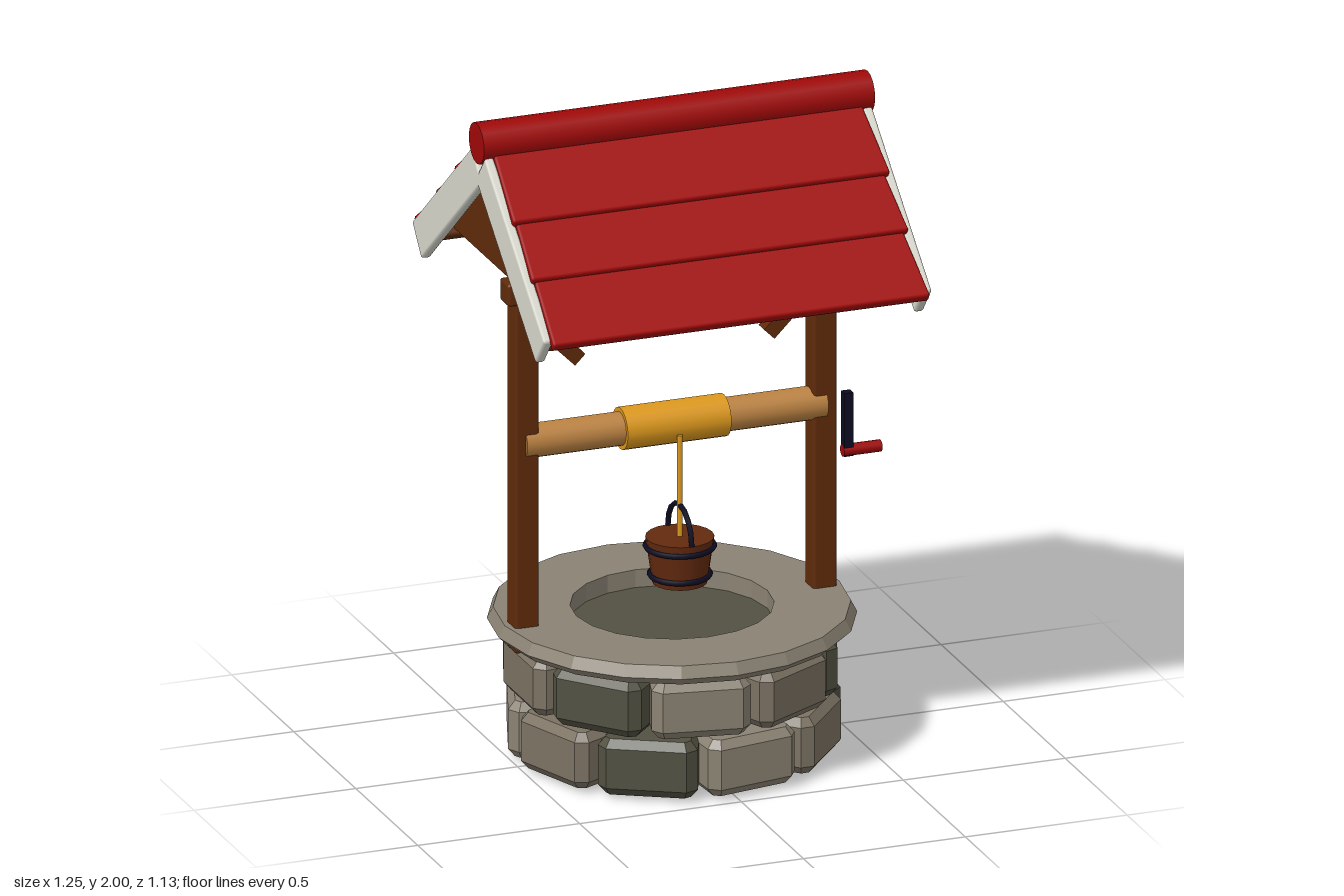
import * as THREE from 'three';
import { RoundedBoxGeometry } from 'three/addons/geometries/RoundedBoxGeometry.js';

const paint = (name, color, flatShading = false) => {
  const m = new THREE.MeshStandardMaterial({ color, flatShading });
  m.name = name;
  return m;
};

export function createModel() {
  const red = paint('roof red', 0xa00808);
  const white = paint('trim white', 0xd8d8ce);
  const wood = paint('dark wood', 0x602b0a);
  const tan = paint('axle wood', 0xbb8242);
  const yellow = paint('rope yellow', 0xdc981d);
  const iron = paint('dark iron', 0x0c0c22);
  const bucketWood = paint('bucket wood', 0x632a0f);
  const stones = [
    paint('dark stone', 0x525142, true),
    paint('warm stone', 0x7b7263, true),
    paint('light stone', 0x8a8273, true),
  ];

  const root = new THREE.Group();
  root.name = 'well';
  const well = new THREE.Group();
  well.name = 'wellBody';
  well.position.x = -0.023;
  root.add(well);

  const add = (name, geo, mat, x = 0, y = 0, z = 0, parent = well) => {
    const mesh = new THREE.Mesh(geo, mat);
    mesh.name = name;
    mesh.position.set(x, y, z);
    parent.add(mesh);
    return mesh;
  };
  const block = (w, h, d, r = 0.01) => new RoundedBoxGeometry(w, h, d, 1, r);
  const rod = (r, length, sides = 20) =>
    new THREE.CylinderGeometry(r, r, length, sides).rotateZ(Math.PI / 2);

  // Stone base: solid core, two staggered rings of chamfered blocks, rim
  add('core', new THREE.CylinderGeometry(0.31, 0.31, 0.385, 20), stones[0], 0, 0.1925);
  const outline = new THREE.Shape([
    [-0.11, 0.3], [0.11, 0.3], [0.125, 0.437], [0.109, 0.455], [-0.109, 0.455], [-0.125, 0.437],
  ].map(([x, y]) => new THREE.Vector2(x, y)));
  const stoneGeo = new THREE.ExtrudeGeometry(outline, {
    depth: 0.122, bevelEnabled: true, bevelThickness: 0.025, bevelSize: 0.02, bevelSegments: 1,
  }).rotateX(-Math.PI / 2);
  for (let row = 0; row < 2; row++) {
    for (let i = 0; i < 9; i++) {
      const angle = ((i + row / 2) / 9) * Math.PI * 2;
      const stone = add('stone', stoneGeo, stones[i % 3], 0, row ? 0.221 : 0.038);
      stone.rotation.y = -angle - Math.PI / 2;
    }
  }
  const rimProfile = [
    [0.295, 0.38], [0.508, 0.38], [0.535, 0.405], [0.517, 0.44], [0.295, 0.44], [0.295, 0.38],
  ].map(([r, y]) => new THREE.Vector2(r, y));
  add('rim', new THREE.LatheGeometry(rimProfile, 20), stones[2]);

  // Frame: posts, braces and top beam
  for (const s of [-1, 1]) {
    add('post', block(0.075, 1.09, 0.075), wood, s * 0.46, 0.905);
    const brace = add('brace', new THREE.BoxGeometry(0.24, 0.045, 0.045), wood, s * 0.377, 1.322);
    brace.rotation.z = s * Math.PI / 4;
  }
  add('topBeam', block(1.04, 0.07, 0.075), wood, 0, 1.467);

  // Windlass: axle, wound rope, crank
  add('axle', rod(0.05, 0.93), tan, 0, 1);
  add('woundRope', rod(0.063, 0.32), yellow, 0, 1);
  add('rope', new THREE.CylinderGeometry(0.009, 0.009, 0.32, 8), yellow, 0, 0.82, 0.063);
  add('crankArm', new THREE.BoxGeometry(0.028, 0.195, 0.028), iron, 0.541, 0.922);
  add('crankHandle', rod(0.018, 0.118, 12), red, 0.585, 0.84);

  // Bucket with two hoops and a bail
  const bucket = new THREE.Group();
  bucket.name = 'bucket';
  bucket.position.z = 0.063;
  well.add(bucket);
  add('pail', new THREE.CylinderGeometry(0.1, 0.08, 0.14, 20), bucketWood, 0, 0.6, 0, bucket);
  for (const [r, y] of [[0.1, 0.642], [0.088, 0.555]]) {
    add('hoop', new THREE.TorusGeometry(r, 0.008, 6, 24).rotateX(Math.PI / 2), iron, 0, y, 0, bucket);
  }
  add('bail', new THREE.TorusGeometry(0.096, 0.008, 6, 8, Math.PI).rotateY(Math.PI / 2),
    iron, 0, 0.67, 0, bucket);

  // Roof slopes: local z runs down the slope, local y is its normal
  const pitch = 0.691;
  const shingle = (length) => {
    const geo = block(1.164, 0.032, length, 0.008);
    const p = geo.attributes.position;
    for (let i = 0; i < p.count; i++) {
      const t = 0.5 - p.getZ(i) / length;
      p.setX(i, p.getX(i) * (1 - 0.024 * t));
    }
    return geo;
  };
  for (const turn of [0, Math.PI]) {
    const side = new THREE.Group();
    side.name = turn ? 'backRoof' : 'frontRoof';
    side.rotation.y = turn;
    well.add(side);
    const slope = new THREE.Group();
    slope.name = 'slope';
    slope.position.y = 1.952;
    slope.rotation.x = pitch;
    side.add(slope);
    add('deck', block(1.14, 0.03, 0.66, 0.006), wood, 0, -0.026, 0.36, slope);
    add('eavePurlin', block(1.14, 0.045, 0.045), wood, 0, -0.052, 0.665, slope);
    for (const [from, to] of [[0.04, 0.302], [0.275, 0.497], [0.465, 0.721]]) {
      const board = add('shingleRow', shingle(to - from), red, 0, -0.003, (from + to) / 2, slope);
      board.rotation.x = -0.07;
    }
    for (const s of [-1, 1]) {
      add('bargeBoard', block(0.03, 0.117, 0.63, 0.009), white, s * 0.585, -0.0585, 0.38, slope);
    }
  }

  // Gable panels and ridge roll
  const gable = new THREE.Shape([
    new THREE.Vector2(-0.48, 1.5), new THREE.Vector2(0.48, 1.5), new THREE.Vector2(0, 1.9),
  ]);
  const gableGeo = new THREE.ExtrudeGeometry(gable, { depth: 0.02, bevelEnabled: false })
    .translate(0, 0, -0.01).rotateY(Math.PI / 2);
  for (const s of [-1, 1]) add('gable', gableGeo, wood, s * 0.485);
  add('ridge', rod(0.062, 1.208, 16), red, 0, 1.938);

  return root;
}
